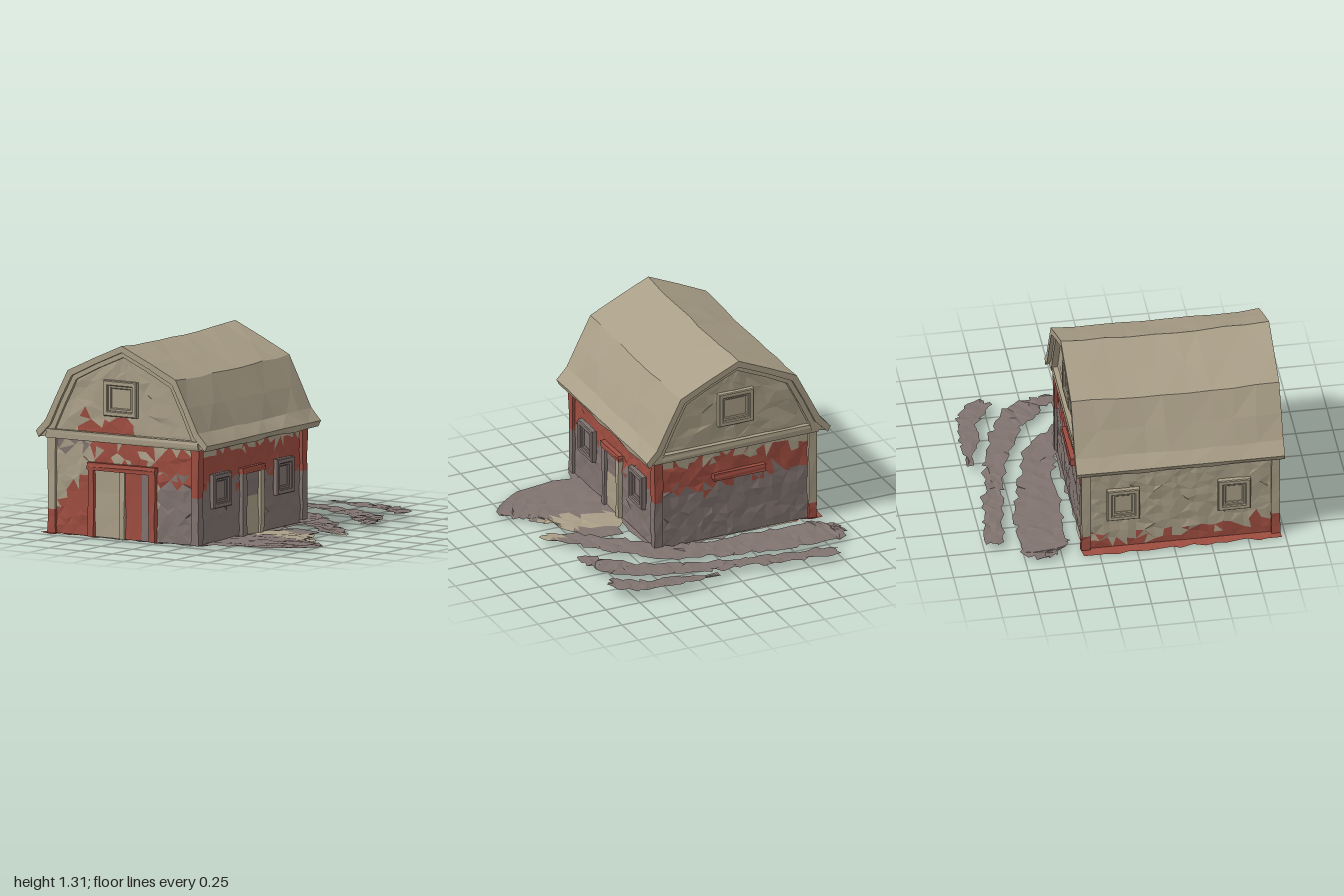
import * as THREE from 'three';

const CX = -0.255;                    // barn centre line
const HW = 0.575;                     // half width of the walls
const ZF = 0.95, ZB = -0.345;         // front and back wall planes
const material = (color) => new THREE.MeshStandardMaterial({ color, flatShading: true, side: THREE.DoubleSide });
const paints = { tan: material(0xa99e87), grey: material(0x80736f), red: material(0x9e4d40) };

// Repeatable noise in -1..1 tied to a position
const noise = (x, y, z, k = 0) => {
  const s = Math.sin(x * 127.1 + y * 311.7 + z * 74.7 + k * 19.19) * 43758.5453;
  return 2 * (s - Math.floor(s)) - 1;
};
const lerp = THREE.MathUtils.lerp;

// Uneven faceted grid; each triangle goes to the colour chosen by paint(x, y, z, n)
function sheet(name, nu, nv, place, paint, { skew = 0.3, rough = 0.006, jag = 0 } = {}) {
  const group = new THREE.Group();
  group.name = name;
  const grid = [];
  for (let i = 0; i <= nu; i++) {
    for (let j = 0; j <= nv; j++) {
      const inU = i > 0 && i < nu, inV = j > 0 && j < nv;
      const u = (i + (inU ? skew * noise(i, j, nu, 1) : 0)) / nu;
      const v = (j + (inV ? skew * noise(i, j, nv, 2) : 0)) / nv;
      const p = place(u, v);
      const r = inU && inV ? rough : jag;
      p.x += r * noise(i, j, nu, 3);
      p.y += Math.min(r, 0.006) * noise(i, j, nu, 4);
      p.z += r * noise(i, j, nu, 5);
      grid.push(p);
    }
  }
  const lists = { tan: [], grey: [], red: [] };
  const face = (...ids) => {
    const c = new THREE.Vector3();
    ids.forEach((id) => c.addScaledVector(grid[id], 1 / 3));
    const list = lists[paint(c.x, c.y, c.z, noise(c.x, c.y, c.z, 6))];
    ids.forEach((id) => list.push(...grid[id].toArray()));
  };
  for (let i = 0; i < nu; i++) {
    for (let j = 0; j < nv; j++) {
      const a = i * (nv + 1) + j, b = a + nv + 1;
      if ((i + j) % 2) { face(a, b, b + 1); face(a, b + 1, a + 1); }
      else { face(a, b, a + 1); face(b, b + 1, a + 1); }
    }
  }
  for (const key in lists) {
    if (!lists[key].length) continue;
    const geo = new THREE.BufferGeometry();
    geo.setAttribute('position', new THREE.Float32BufferAttribute(lists[key], 3));
    geo.computeVertexNormals();
    const mesh = new THREE.Mesh(geo, paints[key]);
    mesh.name = `${name} ${key}`;
    group.add(mesh);
  }
  return group;
}

// Slightly crooked timber between two corners
function timber(name, x0, x1, y0, y1, z0, z1, color) {
  const geo = new THREE.BoxGeometry(x1 - x0, y1 - y0, z1 - z0, 1, 3, 1);
  geo.translate((x0 + x1) / 2, (y0 + y1) / 2, (z0 + z1) / 2);
  const p = geo.attributes.position;
  for (let i = 0; i < p.count; i++) {
    const [x, y, z] = [p.getX(i), p.getY(i), p.getZ(i)].map((n) => Math.round(n * 1e3) / 1e3);
    p.setXYZ(i, x + 0.004 * noise(x, y, z, 1), Math.max(0, y + 0.003 * noise(x, y, z, 2)), z + 0.004 * noise(x, y, z, 3));
  }
  geo.computeVertexNormals();
  const mesh = new THREE.Mesh(geo, paints[color]);
  mesh.name = name;
  return mesh;
}

// Rectangular frame with a hole, lying on a wall
function frame(w, h, border, depth, color) {
  const rect = (s, a, b) => s.moveTo(-a, -b).lineTo(a, -b).lineTo(a, b).lineTo(-a, b).closePath();
  const shape = rect(new THREE.Shape(), w / 2, h / 2);
  shape.holes.push(rect(new THREE.Path(), w / 2 - border, h / 2 - border));
  return new THREE.Mesh(new THREE.ExtrudeGeometry(shape, {
    depth, bevelEnabled: true, bevelSize: 0.006, bevelThickness: 0.006, bevelSegments: 1, bevelOffset: -0.006,
  }), paints[color]);
}
function windowUnit(x, y, w, h, color, paneColor) {
  const g = new THREE.Group();
  g.name = 'window';
  const outer = frame(w, h, 0.035, 0.03, color);
  const inner = frame(w - 0.06, h - 0.06, 0.025, 0.014, color);
  const pane = timber('windowPane', -w / 2 + 0.03, w / 2 - 0.03, -h / 2 + 0.03, h / 2 - 0.03, 0, 0.006, paneColor);
  pane.geometry = new THREE.BoxGeometry(w - 0.06, h - 0.06, 0.016);
  outer.name = 'windowOuterFrame';
  inner.name = 'windowInnerFrame';
  g.add(outer, inner, pane);
  g.position.set(x, y, 0);
  return g;
}

// Roof half profile: distance from the ridge and height
const outerHalf = [[0, 1.31], [0.22, 1.212], [0.425, 1.115], [0.52, 0.93], [0.6, 0.77], [0.675, 0.69]];
const innerHalf = [[0, 1.265], [0.21, 1.172], [0.395, 1.08], [0.485, 0.91], [0.565, 0.74], [0.655, 0.65]];
const trimHalf = [[0, 1.23], [0.2, 1.142], [0.37, 1.055], [0.455, 0.89], [0.535, 0.72], [0.55, 0.67]];
const full = (half) => [...half.slice(1).reverse().map(([x, y]) => [-x, y]), ...half];

// Shell between two profiles, sagging along its length
function shell(name, outerPts, innerPts, z0, z1) {
  const g = new THREE.Group();
  g.name = name;
  const out = full(outerPts), inn = full(innerPts);
  const loop = [...out, ...[...inn].reverse(), out[0]];
  const at = ([x, y], z) => {
    const t = (2 * (z - z0)) / (z1 - z0) - 1;
    return new THREE.Vector3(CX + x, y - 0.02 * (1 - t * t) * (y - 0.65) / 0.6, z);
  };
  g.add(sheet(`${name} surface`, 9, loop.length - 1,
    (u, v) => at(loop[Math.round(v * (loop.length - 1))], lerp(z0, z1, u)), () => 'tan', { skew: 0.12, rough: 0.008 }));
  for (const z of [z0, z1]) {
    g.add(sheet(`${name} end`, out.length - 1, 1,
      (u, v) => at((v ? inn : out)[Math.round(u * (out.length - 1))], z), () => 'tan', { skew: 0 }));
  }
  return g;
}

// Ragged ground strip along points of [x, z, half width]
function strip(name, y, pts, nu, nv, paint = () => 'grey') {
  const curve = new THREE.CatmullRomCurve3(pts.map(([x, z]) => new THREE.Vector3(x, 0, z)));
  return sheet(name, nu, nv, (u, v) => {
    const c = curve.getPoint(u), t = curve.getTangent(u);
    const k = Math.min(u * (pts.length - 1), pts.length - 1.001), i = Math.floor(k);
    const w = lerp(pts[i][2], pts[i + 1][2], k - i) * (2 * v - 1);
    return new THREE.Vector3(c.x - t.z * w, y, c.z + t.x * w);
  }, paint, { rough: 0.008, jag: 0.024 });
}

export function createModel() {
  const model = new THREE.Group();
  model.name = 'barn';

  // Wall paint
  const gablePaint = (front) => (x, y, z, n) => {
    if (!front) return y > 0.59 + 0.04 * n ? 'tan' : y > 0.41 + 0.06 * n ? 'red' : 'grey';
    if (y > 0.68) return x > -0.6 && x < -0.15 && y < 0.78 + 0.06 * n ? 'red' : 'tan';
    if (x < -0.5) return y < 0.15 + (x + 0.85) * 0.95 + 0.03 * n ? 'red' : y > 0.56 && n > 0.2 ? 'grey' : 'tan';
    if (x < 0) return y > 0.49 && n > -0.5 ? 'red' : 'tan';
    return y > 0.62 ? 'tan' : y > 0.42 + 0.08 * n ? 'red' : 'grey';
  };
  const rightPaint = (x, y, z, n) => (y > 0.61 + 0.03 * n ? 'tan' : y > 0.4 + 0.06 * n ? 'red' : 'grey');
  const leftPaint = (x, y, z, n) => (y < 0.1 + 0.06 * n ? 'red' : 'tan');

  // Walls and gables
  const gable = [[0.66, HW], [0.74, 0.56], [1.09, 0.385], [1.27, 0]];
  const gableWidth = (y) => {
    const i = y < 0.74 ? 0 : y < 1.09 ? 1 : 2;
    return lerp(gable[i][1], gable[i + 1][1], (y - gable[i][0]) / (gable[i + 1][0] - gable[i][0]));
  };
  for (const [name, z, front] of [['front', ZF, true], ['back', ZB, false]]) {
    model.add(sheet(`${name}Wall`, 20, 11, (u, v) => new THREE.Vector3(CX + (2 * u - 1) * HW, 0.01 + 0.65 * v, z), gablePaint(front)));
    model.add(sheet(`${name}Gable`, 12, 9, (u, v) => {
      const y = 0.66 + 0.61 * v;
      return new THREE.Vector3(CX + (2 * u - 1) * gableWidth(y), y, z);
    }, gablePaint(front)));
    const s = front ? 1 : -1, a = z - 0.01 * s, b = z + 0.035 * s;
    model.add(timber(`${name}Band`, CX - 0.6, CX + 0.6, 0.65, 0.71, Math.min(a, b), Math.max(a, b), 'tan'));
  }
  for (const [name, s, paint] of [['right', 1, rightPaint], ['left', -1, leftPaint]]) {
    model.add(sheet(`${name}SideWall`, 22, 11,
      (u, v) => new THREE.Vector3(CX + s * HW, 0.01 + 0.65 * v, lerp(ZB, ZF, u)), paint));
  }

  // Corner posts in two colours
  for (const [s, z0, z1, low, cut, high] of [
    [1, 0.91, 0.97, 'grey', 0.33, 'red'], [-1, 0.91, 0.97, 'red', 0.17, 'tan'],
    [1, -0.365, -0.305, 'grey', 0.36, 'red'], [-1, -0.365, -0.305, 'red', 0.12, 'tan']]) {
    const a = CX + s * 0.535, b = CX + s * 0.595;
    model.add(timber('cornerPostLower', Math.min(a, b), Math.max(a, b), 0.01, cut, z0, z1, low));
    model.add(timber('cornerPostUpper', Math.min(a, b), Math.max(a, b), cut, 0.67, z0, z1, high));
  }

  // Fittings, each group facing outward from its wall
  const wallGroup = (name, x, z, turn, ...parts) => {
    const g = new THREE.Group();
    g.name = name;
    g.position.set(x, 0, z);
    g.rotation.y = turn;
    g.add(...parts);
    model.add(g);
  };
  wallGroup('frontFittings', 0, ZF, 0,
    windowUnit(-0.275, 0.95, 0.26, 0.24, 'tan', 'tan'),
    timber('frontDoorLeft', -0.48, -0.28, 0.01, 0.46, 0, 0.014, 'tan'),
    timber('frontDoorRightEdge', -0.24, -0.2, 0.01, 0.46, 0, 0.014, 'red'),
    timber('frontDoorRight', -0.2, -0.11, 0.01, 0.46, 0, 0.014, 'red'),
    timber('frontDoorRightPanel', -0.11, -0.04, 0.01, 0.46, 0, 0.014, 'grey'),
    timber('frontJambLeft', -0.525, -0.48, 0.01, 0.47, 0, 0.035, 'red'),
    timber('frontJambMiddle', -0.28, -0.24, 0.01, 0.47, 0, 0.03, 'tan'),
    timber('frontJambRight', -0.045, 0, 0.01, 0.47, 0, 0.035, 'red'),
    timber('frontLintel', -0.53, 0.005, 0.46, 0.51, 0, 0.04, 'red'));
  wallGroup('rightFittings', CX + HW, 0, Math.PI / 2,
    windowUnit(-0.69, 0.355, 0.22, 0.23, 'grey', 'grey'),
    windowUnit(0.085, 0.355, 0.21, 0.24, 'grey', 'grey'),
    timber('sideDoorLower', -0.39, -0.22, 0.01, 0.27, 0, 0.012, 'tan'),
    timber('sideDoorUpper', -0.39, -0.22, 0.27, 0.43, 0, 0.012, 'grey'),
    timber('sideJamb', -0.44, -0.39, 0.01, 0.44, 0, 0.03, 'grey'),
    timber('sideJamb', -0.22, -0.175, 0.01, 0.44, 0, 0.03, 'tan'),
    timber('sideLintel', -0.445, -0.17, 0.43, 0.47, 0, 0.035, 'red'));
  wallGroup('leftFittings', CX - HW, 0, -Math.PI / 2,
    windowUnit(0.66, 0.36, 0.22, 0.24, 'tan', 'tan'), windowUnit(-0.085, 0.36, 0.22, 0.24, 'tan', 'tan'));
  wallGroup('backFittings', 0, ZB, Math.PI,
    windowUnit(0.255, 0.95, 0.26, 0.24, 'tan', 'tan'),
    timber('backLedge', 0.09, 0.47, 0.44, 0.49, 0, 0.035, 'red'));

  // Gambrel roof with an inner verge trim
  model.add(shell('roof', outerHalf, innerHalf, -0.41, 0.99));
  model.add(shell('vergeTrim', innerHalf, trimHalf, -0.385, 0.97));

  // Ground under and around the barn
  model.add(sheet('floor', 18, 18, (u, v) => new THREE.Vector3(lerp(-0.9, 0.36, u), 0.006, lerp(-0.36, 0.96, v)),
    (x, y, z, n) => (x < -0.68 + 0.06 * n ? 'red' : x < -0.42 + 0.06 * n ? 'tan' : 'grey'), { rough: 0.004, jag: 0.015 }));
  model.add(strip('yardPatch', 0.016,
    [[0.3, 0.38, 0.43], [0.45, 0.42, 0.46], [0.6, 0.48, 0.39], [0.75, 0.5, 0.34], [0.86, 0.48, 0.25], [0.92, 0.42, 0.16]], 10, 14,
    (x, y, z, n) => (z > 0.08 + 0.25 * (x - 0.42) && z < 0.29 + 0.2 * (x - 0.42) + 0.03 * n ? 'tan' : 'grey')));
  model.add(strip('innerTrack', 0.032,
    [[-0.92, -0.58, 0.05], [-0.8, -0.61, 0.17], [-0.5, -0.59, 0.165], [-0.2, -0.56, 0.13], [0.05, -0.52, 0.11],
      [0.3, -0.45, 0.1], [0.5, -0.25, 0.1], [0.7, -0.06, 0.09], [0.92, 0.12, 0.05]], 44, 4,
    (x, y, z) => (x > 0.8 && z > 0.04 ? 'tan' : 'grey')));
  model.add(strip('middleTrack', 0.047,
    [[-0.74, -0.93, 0.04], [-0.5, -0.91, 0.07], [-0.25, -0.87, 0.065], [0, -0.82, 0.06], [0.3, -0.74, 0.085],
      [0.6, -0.62, 0.09], [0.76, -0.48, 0.09], [0.84, -0.3, 0.04]], 40, 3));
  model.add(strip('outerTrack', 0.062,
    [[0.15, -0.96, 0.02], [0.4, -0.925, 0.05], [0.6, -0.905, 0.065], [0.75, -0.84, 0.08], [0.85, -0.73, 0.04]], 20, 3));
  return model;
}
